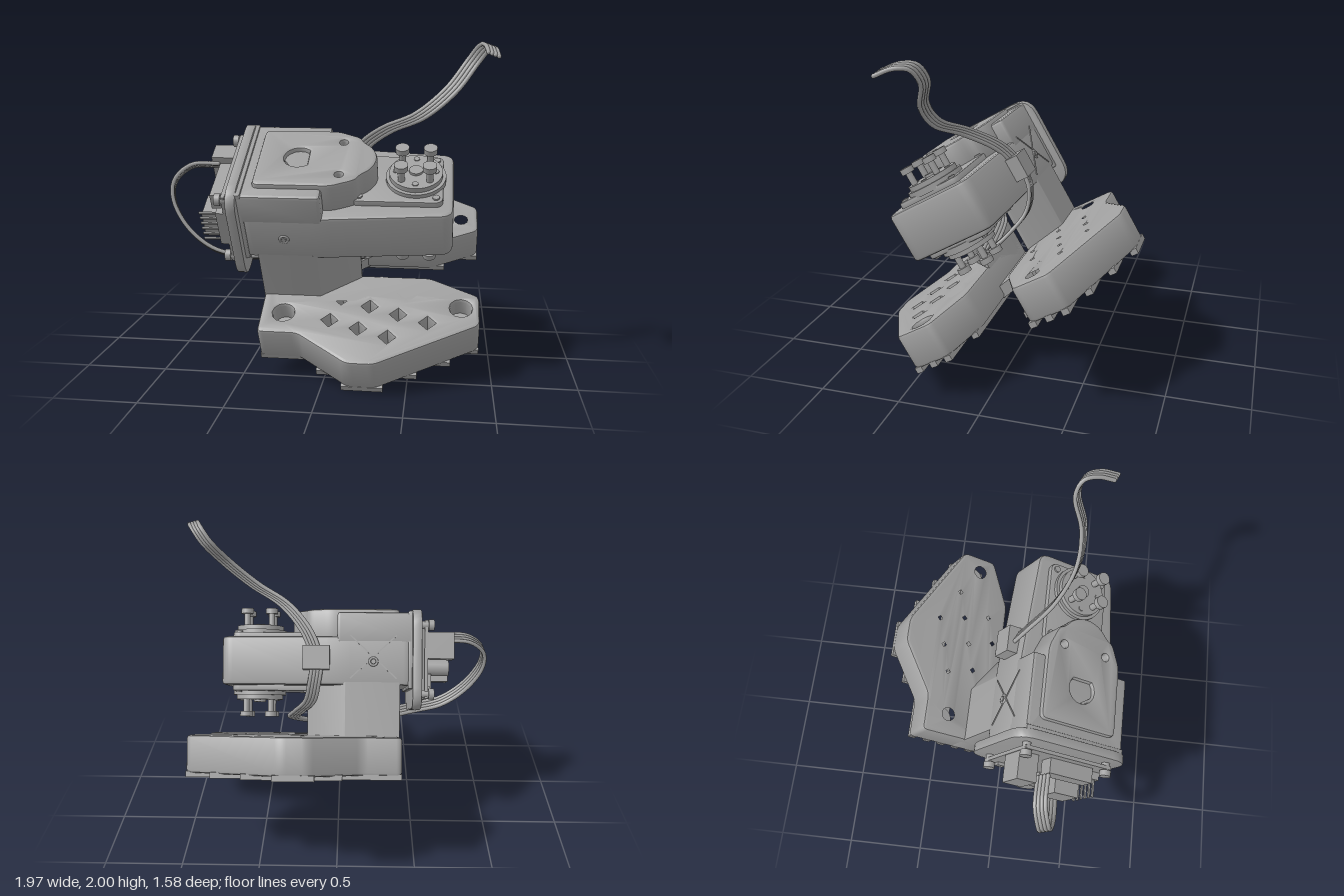
import * as THREE from 'three';
import { toCreasedNormals } from 'three/addons/utils/BufferGeometryUtils.js';

const grey = new THREE.MeshStandardMaterial({ color: 0xa0a0a0 });
grey.name = 'grey plastic';
const MID = -0.26; // local z of the mirror plane

function add(parent, name, geo) {
  const m = new THREE.Mesh(geo, grey);
  m.name = name;
  parent.add(m);
  return m;
}

// Closed outline of [x, z] points with rounded corners
function outline(pts, r) {
  const P = pts.map(([x, z]) => new THREE.Vector2(x, -z));
  const s = new THREE.Shape();
  P.forEach((p, i) => {
    const a = P[(i + P.length - 1) % P.length], b = P[(i + 1) % P.length];
    const toward = q => p.clone().add(q.clone().sub(p).setLength(Math.min(r, p.distanceTo(q) * 0.45)));
    const s0 = toward(a), s1 = toward(b);
    if (i) s.lineTo(s0.x, s0.y); else s.moveTo(s0.x, s0.y);
    s.quadraticCurveTo(p.x, p.y, s1.x, s1.y);
  });
  s.closePath();
  return s;
}

// Horizontal slab between two heights, with bevelled edges and holes
function slab(pts, y0, y1, { r = 0.03, bevel = 0.015, holes = [] } = {}) {
  const s = outline(pts, r);
  s.holes.push(...holes);
  const g = new THREE.ExtrudeGeometry(s, {
    depth: y1 - y0 - 2 * bevel, curveSegments: 6, bevelEnabled: bevel > 0,
    bevelSize: bevel, bevelThickness: bevel, bevelOffset: -bevel, bevelSegments: 2,
  });
  g.rotateX(-Math.PI / 2).translate(0, y0 + bevel, 0);
  return toCreasedNormals(g, 0.6);
}

const circle = (x, z, r) => new THREE.Path().absarc(x, -z, r, 0, Math.PI * 2, true);
const diamond = (x, z, r) => new THREE.Path([[r, 0], [0, -r], [-r, 0], [0, r]].map(([a, b]) => new THREE.Vector2(x + a, -z + b)));
function teardrop(x, z, r) {
  const p = new THREE.Path();
  p.moveTo(x + r * 1.5, -z);
  p.absarc(x, -z, r, Math.PI * 0.27, Math.PI * 1.73, false);
  p.closePath();
  return p;
}
const rect = (x0, x1, z0, z1) => [[x0, z0], [x1, z0], [x1, z1], [x0, z1]];
const mirror = z => 2 * MID - z;

function cyl(parent, name, x, y, z, r, h, axis = 'y', seg = 24) {
  const g = new THREE.CylinderGeometry(r, r, h, seg);
  if (axis === 'x') g.rotateZ(Math.PI / 2);
  if (axis === 'z') g.rotateX(Math.PI / 2);
  return add(parent, name, g.translate(x, y, z));
}
const box = (parent, name, x, y, z, w, h, d) =>
  add(parent, name, new THREE.BoxGeometry(w, h, d).translate(x, y, z));

function inside(pts, x, z) {
  let c = false;
  pts.forEach(([ax, az], i) => {
    const [bx, bz] = pts[(i + 1) % pts.length];
    if ((az > z) !== (bz > z) && x < ax + (z - az) / (bz - az) * (bx - ax)) c = !c;
  });
  return c;
}

const FOOT = [[-0.39, -0.11], [-0.39, 0.38], [-0.15, 0.38], [0.16, 0.585], [0.32, 0.585], [0.92, 0.26], [0.92, 0.03], [0.62, -0.11]];
const BOLTS = [[-0.25, 0.22], [0.81, 0.13]];

// Perforated foot, its ribs and its column; side maps the front foot to either place
function buildFoot(parent, name, side) {
  const foot = new THREE.Group();
  foot.name = name;
  parent.add(foot);
  const map = pts => pts.map(([x, z]) => [x, side(z)]);
  const holes = BOLTS.map(([x, z]) => circle(x, side(z), 0.065));
  for (let i = -6; i <= 6; i++) for (let j = -6; j <= 6; j++) {
    const x = 0.32 + 0.175 * i - 0.055 * j, z = -0.03 + 0.055 * i + 0.175 * j;
    let ok = z > Math.min(0.17, 0.17 - 0.75 * (x + 0.04));
    for (let k = 0; k < 8; k++) {
      ok = ok && inside(FOOT, x + 0.075 * Math.cos(k * Math.PI / 4), z + 0.075 * Math.sin(k * Math.PI / 4));
    }
    if (ok && BOLTS.every(b => Math.hypot(b[0] - x, b[1] - z) > 0.16)) holes.push(diamond(x, side(z), 0.045));
  }
  add(foot, 'footPlate', slab(map(FOOT), 0.37, 0.6, { r: 0.035, bevel: 0.02, holes }));
  for (const [x, z] of BOLTS) cyl(foot, 'boltSeat', x, 0.44, side(z), 0.075, 0.08);
  // ribs under the foot
  for (let z = -0.07; z < 0.58; z += 0.105) {
    const xs = [];
    FOOT.forEach(([ax, az], i) => {
      const [bx, bz] = FOOT[(i + 1) % FOOT.length];
      if ((az > z) !== (bz > z)) xs.push(ax + (z - az) / (bz - az) * (bx - ax));
    });
    const a = Math.min(...xs), b = Math.max(...xs);
    box(foot, 'rib', (a + b) / 2, 0.363, side(z), b - a, 0.036, 0.045);
  }
  add(foot, 'column', slab(map([[-0.39, -0.11], [-0.39, 0.08], [-0.04, 0.08], [0.2, -0.09], [0.2, -0.11]]), 0.4, 0.94, { r: 0.005, bevel: 0 }));
}

// Ribbon of thin wires along a smooth path
function ribbon(parent, name, pts, offset, n) {
  const g = new THREE.Group();
  g.name = name;
  parent.add(g);
  for (let i = 0; i < n; i++) {
    const o = new THREE.Vector3(...offset).multiplyScalar(i - (n - 1) / 2);
    const curve = new THREE.CatmullRomCurve3(pts.map(p => new THREE.Vector3(...p).add(o)));
    add(g, 'wire', new THREE.TubeGeometry(curve, 60, 0.013, 7, false));
    for (const t of [0, 1]) add(g, 'wireEnd', new THREE.SphereGeometry(0.0125, 7, 5)).position.copy(curve.getPoint(t));
  }
}

export function createModel() {
  const model = new THREE.Group();
  model.name = 'servoBracket';
  const tilt = new THREE.Group();
  tilt.name = 'tiltedBody';
  tilt.rotation.x = Math.PI / 6;
  model.add(tilt);

  // base
  buildFoot(tilt, 'frontFoot', z => z);
  buildFoot(tilt, 'backFoot', mirror);
  add(tilt, 'baseBridge', slab([[-0.39, -0.1], [0.22, -0.1], [-0.02, MID], [0.22, -0.42], [-0.39, -0.42]], 0.37, 0.45, { r: 0.01, bevel: 0 }));

  // housing
  const drop = () => teardrop(-0.15, MID, 0.085);
  add(tilt, 'housing', slab([[-0.48, 0.08], [0, 0.08], [0.75, 0.02], [0.75, -0.54], [0, -0.6], [-0.48, -0.6]], 0.92, 1.23, { r: 0.07, bevel: 0.02 }));
  add(tilt, 'housingTop', slab(rect(-0.48, 0.01, -0.6, 0.08), 1.18, 1.385, { r: 0.02, bevel: 0.02, holes: [drop()] }));
  const cap = [[-0.39, 0], [0.06, 0], [0.2, -0.06]];
  for (let k = 0; k <= 6; k++) {
    const a = (60 - 20 * k) * Math.PI / 180;
    cap.push([0.13 + 0.18 * Math.cos(a), MID + 0.18 * Math.sin(a)]);
  }
  cap.push([0.2, -0.46], [0.06, -0.52], [-0.39, -0.52]);
  add(tilt, 'topCap', slab(cap, 1.2, 1.415, { r: 0.04, bevel: 0.02, holes: [drop(), circle(0.1, -0.11, 0.022), circle(0.1, -0.41, 0.022)] }));
  add(tilt, 'endRib', slab(rect(-0.5, -0.44, -0.6, 0.08), 0.9, 1.395, { r: 0.01, bevel: 0.01 }));

  // side screws and crossed ridges on the back
  for (const z of [0.08, -0.6]) {
    add(tilt, 'sideScrewRim', new THREE.TorusGeometry(0.024, 0.008, 8, 20).translate(-0.22, 1.07, z));
    cyl(tilt, 'sideScrew', -0.22, 1.07, z, 0.015, 0.02, 'z');
  }
  for (const s of [1, -1]) {
    const m = box(tilt, 'backRidge', 0, 0, 0, 0.4, 0.008, 0.008);
    m.position.set(-0.22, 1.1, -0.6);
    m.rotation.z = s * 0.75;
  }

  // servo faces, horns and screws, above and below
  for (const s of [1, -1]) {
    const Y = d => (s > 0 ? 1.23 : 0.92) + s * d;
    const lo = d => Math.min(Y(d[0]), Y(d[1])), hi = d => Math.max(Y(d[0]), Y(d[1]));
    const plate = [-0.02, 0.035];
    add(tilt, 'servoFace', slab(rect(0.16, 0.69, -0.47, -0.05), lo(plate), hi(plate), { r: 0.05, bevel: 0.008 }));
    cyl(tilt, 'servoBoss', 0.53, Y(0.04), MID, 0.175, 0.04, 'y', 36);
    cyl(tilt, 'servoHorn', 0.53, Y(0.07), MID, 0.155, 0.04, 'y', 36);
    cyl(tilt, 'hornHub', 0.53, Y(0.09), MID, 0.04, 0.03);
    for (let k = 0; k < 8; k++) {
      const a = k * Math.PI / 4;
      if (k % 2) {
        const x = 0.53 + 0.115 * Math.cos(a), z = MID + 0.115 * Math.sin(a);
        cyl(tilt, 'screwShaft', x, Y(0.13), z, 0.02, 0.11);
        cyl(tilt, 'screwHead', x, Y(0.185), z, 0.04, 0.035);
      } else cyl(tilt, 'hornStud', 0.53 + 0.115 * Math.cos(a), Y(0.09), MID + 0.115 * Math.sin(a), 0.018, 0.012);
    }
    for (const z of [-0.43, -0.09]) for (const x of [0.21, 0.65]) cyl(tilt, 'caseScrew', x, Y(0.035), z, 0.02, 0.02);
  }

  // end flange
  const flange = slab(rect(-0.32, 0.32, -0.39, 0.39), 0, 0.06, { r: 0.13, bevel: 0.008 });
  flange.rotateZ(Math.PI / 2).translate(-0.465, 1.09, MID);
  add(tilt, 'endFlange', flange);

  // circuit board with connectors and pins
  const board = new THREE.Group();
  board.name = 'circuitBoard';
  tilt.add(board);
  box(board, 'board', -0.557, 1.09, MID, 0.022, 0.5, 0.6);
  for (const y of [0.87, 1.31]) for (const s of [1, -1]) {
    cyl(board, 'standoff', -0.55, y, MID + s * 0.28, 0.025, 0.08, 'x');
    cyl(board, 'boardScrew', -0.59, y, MID + s * 0.28, 0.035, 0.035, 'x');
  }
  box(board, 'upperConnector', -0.65, 1.18, -0.49, 0.17, 0.17, 0.13);
  box(board, 'lowerConnector', -0.65, 1.05, -0.13, 0.16, 0.17, 0.17);
  box(board, 'connectorLip', -0.61, 1.23, -0.2, 0.1, 0.1, 0.3);
  cyl(board, 'capacitor', -0.64, 1.05, -0.37, 0.055, 0.15, 'x');
  box(board, 'chip', -0.58, 0.95, -0.35, 0.04, 0.11, 0.13);
  box(board, 'pinBase', -0.59, 1.1, 0.015, 0.05, 0.24, 0.05);
  for (let k = 0; k < 6; k++) box(board, 'pin', -0.64, 1.0 + k * 0.04, 0.015, 0.16, 0.012, 0.012);
  for (let k = 0; k < 5; k++) box(board, 'smallPart', -0.575, 0.9, -0.48 + k * 0.1, 0.025, 0.04, 0.05);

  // cable clip and wiring
  box(tilt, 'cableClip', 0.14, 1.09, -0.62, 0.17, 0.15, 0.09);
  ribbon(model, 'upperCable', [[0.13, 1.25, 0.01], [0.2, 1.38, 0.12], [0.35, 1.5, 0.28], [0.55, 1.595, 0.38], [0.72, 1.74, 0.385],
    [0.84, 1.9, 0.325], [0.9, 1.98, 0.36], [0.93, 1.985, 0.44], [0.945, 1.945, 0.54]], [0.019, -0.007, 0.007], 4);
  ribbon(model, 'backCable', [[0.13, 1.25, 0.0], [0.15, 1.12, -0.06], [0.18, 0.98, -0.05], [0.26, 0.85, 0.04], [0.3, 0.75, 0.14],
    [0.2, 0.69, 0.2]], [0.02, 0, 0], 4);
  ribbon(model, 'sideCable', [[-0.68, 1.27, 0.3], [-0.85, 1.26, 0.3], [-0.95, 1.17, 0.33], [-0.955, 1.05, 0.35], [-0.86, 0.88, 0.37],
    [-0.7, 0.755, 0.37], [-0.5, 0.71, 0.35], [-0.3, 0.7, 0.28], [0.2, 0.69, 0.2]], [0.004, 0.008, 0.02], 4);
  return model;
}
